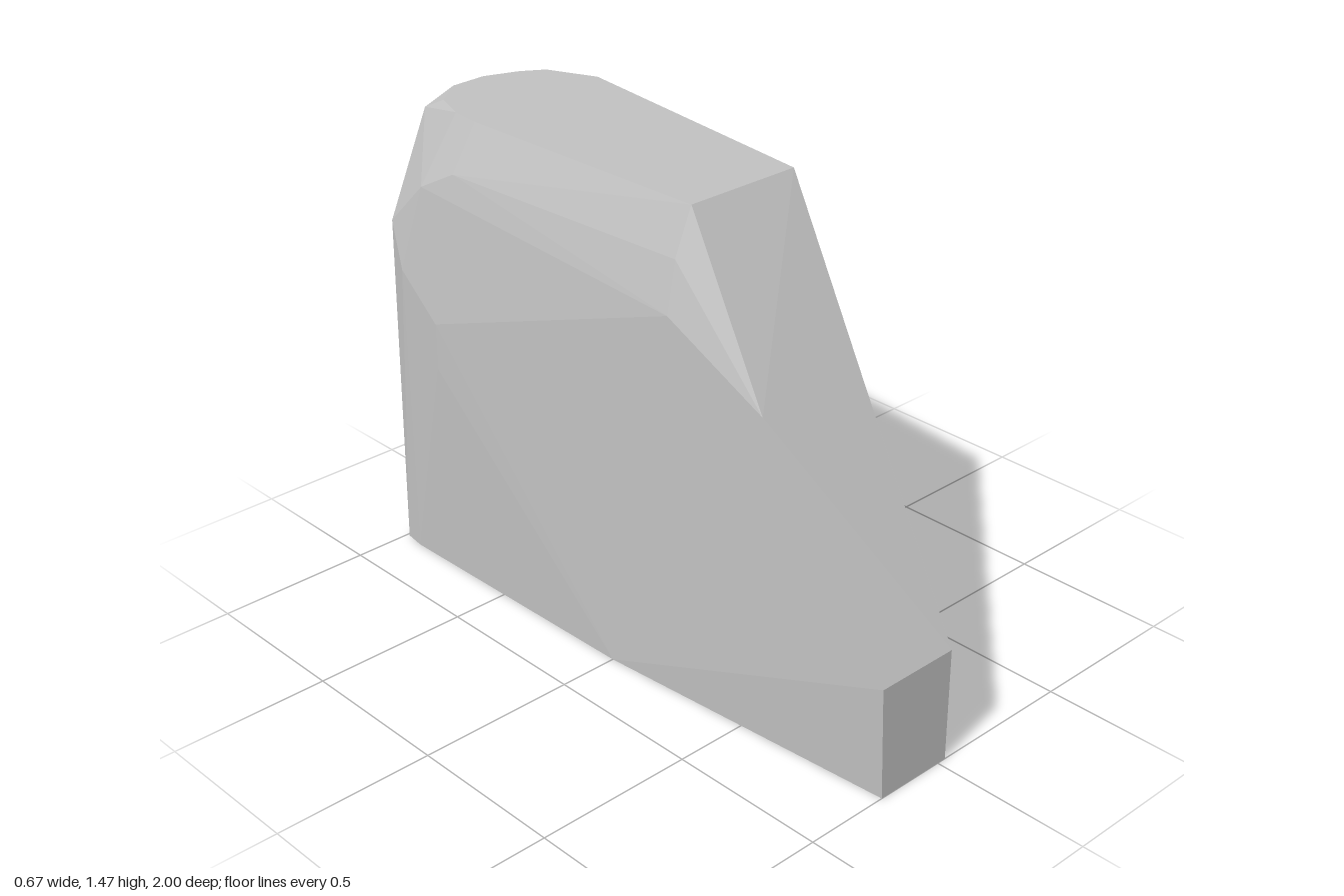
import * as THREE from 'three';
import { ConvexGeometry } from 'three/addons/geometries/ConvexGeometry.js';

export function createModel() {
  const model = new THREE.Group();
  model.name = 'facetedBlock';
  const grey = new THREE.MeshStandardMaterial({ color: 0xc0c0c0 });
  grey.name = 'plain grey';

  // flat outline at one height, as [x, z] corners
  const ring = (y, corners) => corners.map(([x, z]) => new THREE.Vector3(x, y, z));

  // narrow base, with a blunt front end and a slanted back
  const base = ring(0, [
    [0.03, 1], [-0.23, 1], [-0.31, 0], [-0.32, -0.92],
    [-0.31, -0.99], [-0.2, -0.96], [0, -0.87],
  ]);
  // flat top with a rounded back end
  const top = ring(1.47, [
    [0.22, 0.19], [0.33, -0.75], [0.26, -0.91], [0.19, -0.955], [0.08, -0.995],
    [-0.04, -0.99], [-0.14, -0.91], [-0.18, -0.8], [-0.19, -0.7], [-0.17, 0.19],
  ]);
  // upper edge of the blunt front
  const nose = ring(0.36, [[0.03, 1], [-0.245, 1]]);
  // bulge low on the left flank
  const leftFlank = ring(0.46, [[0.165, -0.28], [0.165, -0.58]]);
  // bevelled shoulder and bulge of the right flank
  const rightFlank = [
    [-0.255, 1.0, 0.55], [-0.23, 1.33, 0.19], [-0.27, 1.18, 0.2],
    [-0.265, 1.32, -0.72], [-0.285, 1.25, -0.85], [-0.15, 1.43, -0.99],
    [-0.29, 1.1, -1], [-0.322, 0.97, -0.92], [-0.335, 0.85, -0.75],
    [-0.335, 0.7, -0.75],
  ].map((p) => new THREE.Vector3(...p));

  const body = new THREE.Mesh(
    new ConvexGeometry([...base, ...top, ...nose, ...leftFlank, ...rightFlank]), grey);
  body.name = 'body';
  model.add(body);
  return model;
}
